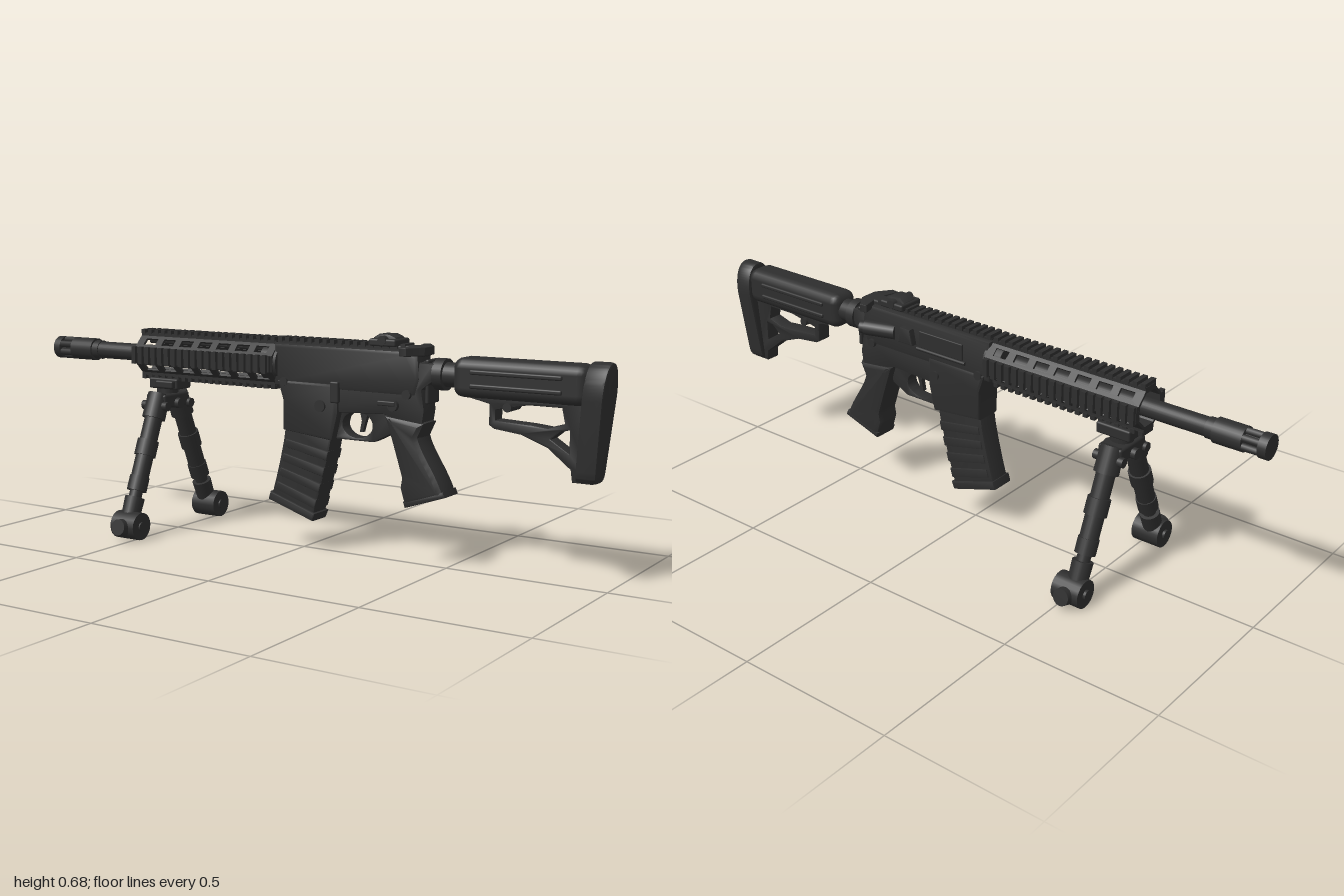
import * as THREE from 'three';
import { RoundedBoxGeometry } from 'three/addons/geometries/RoundedBoxGeometry.js';
import { toCreasedNormals } from 'three/addons/utils/BufferGeometryUtils.js';

const gunmetal = new THREE.MeshStandardMaterial({ color: 0x2e2e2e });
gunmetal.name = 'gunmetal';
const AXIS = 0.577; // bore height

function add(parent, name, geometry, x = 0, y = 0, z = 0) {
  const mesh = new THREE.Mesh(geometry, gunmetal);
  mesh.name = name;
  mesh.position.set(x, y, z);
  parent.add(mesh);
  return mesh;
}

const box = (parent, name, w, h, d, x, y, z, r = 0) =>
  add(parent, name, r ? new RoundedBoxGeometry(w, h, d, 2, r) : new THREE.BoxGeometry(w, h, d), x, y, z);

// Round bar between two points
function rod(parent, name, a, b, r1, r2 = r1, sides = 20) {
  const from = new THREE.Vector3(...a), to = new THREE.Vector3(...b);
  const dir = to.clone().sub(from);
  const mesh = add(parent, name, new THREE.CylinderGeometry(r2, r1, dir.length(), sides));
  mesh.position.copy(from).add(to).multiplyScalar(0.5);
  mesh.quaternion.setFromUnitVectors(new THREE.Vector3(0, 1, 0), dir.normalize());
  return mesh;
}

const tubeX = (parent, name, x1, x2, r, y = AXIS, z = 0, sides = 28) =>
  rod(parent, name, [x1, y, z], [x2, y, z], r, r, sides);

const outline = (pts) => new THREE.Shape(pts.map(p => new THREE.Vector2(...p)));

// Side profile extruded evenly to both sides of z = 0
function plate(parent, name, shape, depth, bevel = 0, z = 0) {
  const s = Array.isArray(shape) ? outline(shape) : shape;
  let g = new THREE.ExtrudeGeometry(s, {
    depth: depth - 2 * bevel, bevelEnabled: bevel > 0, bevelSize: bevel,
    bevelThickness: bevel, bevelOffset: -bevel, bevelSegments: 2, curveSegments: 16,
  });
  g.translate(0, 0, bevel - depth / 2);
  g = toCreasedNormals(g, 0.6);
  return add(parent, name, g, 0, 0, z);
}

const rect = (x1, y1, x2, y2) => [[x1, y1], [x2, y1], [x2, y2], [x1, y2]];

// Toothed accessory rail facing +z
function rail(parent, x1, x2, inner, outer) {
  const mid = (inner + outer) / 2;
  box(parent, 'railBase', x2 - x1, 0.05, mid - inner, (x1 + x2) / 2, 0, (inner + mid) / 2);
  for (let x = x1 + 0.009; x < x2 - 0.005; x += 0.027)
    box(parent, 'railTooth', 0.015, 0.056, outer - mid + 0.003, x, 0, (mid + outer) / 2 - 0.0015);
}

function buildBarrel(root) {
  const g = new THREE.Group(); g.name = 'barrel'; root.add(g);
  tubeX(g, 'barrelTube', -0.9, 0, 0.028);
  tubeX(g, 'muzzleCollar', -0.9, -0.835, 0.037);
  tubeX(g, 'muzzleNeck', -0.84, -0.81, 0.031);
  tubeX(g, 'muzzleCore', -0.985, -0.9, 0.022);
  for (const x of [-1, -0.925]) tubeX(g, 'muzzleRing', x, x + 0.026, 0.037);
  for (let i = 0; i < 6; i++) {
    const a = (i + 0.5) * Math.PI / 3;
    tubeX(g, 'muzzleProng', -0.98, -0.91, 0.011, AXIS + Math.sin(a) * 0.026, Math.cos(a) * 0.026, 8);
  }
}

function buildHandguard(root) {
  const g = new THREE.Group(); g.name = 'handguard'; g.position.y = AXIS; root.add(g);
  for (let i = 0; i < 8; i++) {
    const side = new THREE.Group(); side.name = i % 2 ? 'ventPanel' : 'railSide';
    side.rotation.x = i * Math.PI / 4;
    g.add(side);
    const shape = outline(rect(-0.62, -0.025, -0.08, 0.025));
    if (i % 2) for (let k = 0; k < 7; k++) {
      const x = -0.592 + k * 0.073;
      shape.holes.push(new THREE.Path(rect(x, -0.013, x + 0.048, 0.013).map(p => new THREE.Vector2(...p))));
    }
    plate(side, 'panel', shape, 0.008, 0, 0.056);
    if (i % 2 === 0) rail(side, -0.62, -0.085, 0.059, 0.081);
  }
  tubeX(g, 'barrelNut', -0.13, -0.07, 0.057, 0);
  tubeX(g, 'gasTube', -0.6, -0.1, 0.009, 0.043, 0, 10);
}

function buildReceiver(root) {
  const g = new THREE.Group(); g.name = 'receiver'; root.add(g);
  // Upper half
  plate(g, 'upperReceiver', [[-0.085, 0.51], [0.41, 0.51], [0.425, 0.56], [0.42, 0.63], [0.38, 0.642], [-0.085, 0.642]], 0.086, 0.012);
  const top = new THREE.Group(); top.name = 'topRail';
  top.rotation.x = -Math.PI / 2; g.add(top);
  rail(top, -0.08, 0.37, 0.636, 0.66);
  // Lower half with magazine well
  plate(g, 'lowerReceiver', [[0.1, 0.44], [0.3, 0.45], [0.43, 0.41], [0.44, 0.47], [0.43, 0.53], [0.47, 0.56], [0.47, 0.61], [0.42, 0.61], [0.4, 0.53], [0.1, 0.53]], 0.078, 0.008);
  plate(g, 'magazineWell', [[-0.05, 0.375], [0.13, 0.355], [0.15, 0.44], [0.15, 0.53], [-0.07, 0.53], [-0.05, 0.47]], 0.096, 0.01);
  plate(g, 'frontLug', [[-0.1, 0.53], [-0.05, 0.5], [0.0, 0.53], [0, 0.56], [-0.1, 0.56]], 0.07, 0.005);
  // Trigger and guard
  const guard = outline([[0.12, 0.36], [0.26, 0.36], [0.32, 0.39], [0.33, 0.46], [0.12, 0.46]]);
  guard.holes.push(new THREE.Path().absellipse(0.205, 0.408, 0.052, 0.039, 0, Math.PI * 2, true));
  plate(g, 'triggerGuard', guard, 0.045, 0.004);
  plate(g, 'trigger', [[0.205, 0.45], [0.235, 0.45], [0.225, 0.42], [0.215, 0.385], [0.205, 0.385], [0.212, 0.42]], 0.015);
  // Controls on the +z side
  rod(g, 'selectorPivot', [0.34, 0.48, 0.03], [0.34, 0.48, 0.052], 0.017);
  box(g, 'selectorLever', 0.06, 0.015, 0.01, 0.32, 0.485, 0.05, 0.004);
  box(g, 'boltCatch', 0.03, 0.065, 0.016, 0.14, 0.505, 0.046, 0.005);
  rod(g, 'magazineCatch', [0.09, 0.46, 0.04], [0.09, 0.46, 0.055], 0.018);
  for (const [x, y] of [[-0.045, 0.525], [0.385, 0.515]])
    rod(g, 'takedownPin', [x, y, -0.05], [x, y, 0.05], 0.014);
  // Controls on the -z side
  box(g, 'ejectionCover', 0.17, 0.055, 0.009, 0.1, 0.583, -0.044, 0.003);
  rod(g, 'coverHinge', [0.005, 0.55, -0.046], [0.195, 0.55, -0.046], 0.006, 0.006, 10);
  plate(g, 'shellDeflector', [[0.2, 0.56], [0.26, 0.56], [0.25, 0.61], [0.21, 0.61]], 0.03, 0.005, -0.05);
  rod(g, 'forwardAssist', [0.29, 0.575, -0.035], [0.39, 0.575, -0.066], 0.024);
  rod(g, 'assistButton', [0.38, 0.575, -0.063], [0.405, 0.575, -0.071], 0.02);
  rod(g, 'magazineButton', [0.12, 0.48, -0.035], [0.12, 0.48, -0.054], 0.014);
  // Charging handle
  box(g, 'chargingBar', 0.09, 0.03, 0.05, 0.385, 0.64, 0, 0.006);
  plate(g, 'chargingGrip', [[0.375, -0.075], [0.4, -0.078], [0.435, -0.03], [0.435, 0.03], [0.4, 0.078], [0.375, 0.075], [0.395, 0]], 0.026, 0.003)
    .rotation.x = Math.PI / 2;
  g.children.at(-1).position.y = 0.642;
  // Folding rear sight
  box(g, 'sightBase', 0.09, 0.022, 0.09, 0.3, 0.662, 0, 0.006);
  plate(g, 'sightBody', [[0.255, 0.66], [0.345, 0.66], [0.335, 0.678], [0.315, 0.686], [0.28, 0.686], [0.262, 0.675]], 0.055, 0.004);
  rod(g, 'sightKnob', [0.3, 0.668, -0.047], [0.3, 0.668, 0.047], 0.014);
}

function buildMagazine(root) {
  const g = new THREE.Group(); g.name = 'magazine'; root.add(g);
  const left = t => [-0.045 - 0.055 * t ** 1.3, 0.4 - 0.24 * t];
  const right = t => [0.125 - 0.07 * t ** 1.2, 0.38 - 0.27 * t];
  const ts = [0, 0.25, 0.5, 0.75, 1];
  plate(g, 'magazineBody', [...ts.map(left), ...ts.slice().reverse().map(right)], 0.074, 0.008);
  for (let i = 0; i < 4; i++) {
    const a = 0.22 + i * 0.19, b = a + 0.11;
    const inset = ([x, y]) => [x + 0.012, y];
    plate(g, 'magazineRib', [inset(left(a)), inset(left(b)), right(b), right(a)], 0.082, 0.004);
  }
  plate(g, 'magazineFloor', [[-0.108, 0.15], [0.055, 0.097], [0.066, 0.122], [-0.1, 0.176]], 0.084, 0.005);
}

function buildGrip(root) {
  const g = new THREE.Group(); g.name = 'grip'; root.add(g);
  const s = new THREE.Shape();
  s.moveTo(0.305, 0.45);
  s.bezierCurveTo(0.335, 0.36, 0.345, 0.33, 0.365, 0.265);
  s.lineTo(0.36, 0.235);
  s.lineTo(0.378, 0.178);
  s.lineTo(0.512, 0.222);
  s.bezierCurveTo(0.49, 0.29, 0.44, 0.34, 0.425, 0.39);
  s.lineTo(0.445, 0.435);
  plate(g, 'gripBody', s, 0.092, 0.02);
  plate(g, 'gripBase', [[0.374, 0.195], [0.38, 0.177], [0.514, 0.222], [0.507, 0.24]], 0.088, 0.006);
}

function buildStock(root) {
  const g = new THREE.Group(); g.name = 'stock'; root.add(g);
  tubeX(g, 'bufferTube', 0.42, 0.9, 0.036);
  tubeX(g, 'castleNut', 0.465, 0.495, 0.047);
  box(g, 'endPlate', 0.012, 0.13, 0.07, 0.445, 0.555, 0, 0.005);
  box(g, 'stockBody', 0.41, 0.115, 0.1, 0.735, 0.576, 0, 0.03);
  for (const s of [-1, 1]) for (const y of [0.555, 0.595])
    box(g, 'stockRidge', 0.28, 0.014, 0.012, 0.73, y, s * 0.05, 0.005);
  // Open lower brace
  const brace = outline([[0.55, 0.525], [0.64, 0.505], [0.64, 0.445], [0.655, 0.435], [0.74, 0.425], [0.82, 0.395], [0.89, 0.34], [0.895, 0.305], [0.955, 0.305], [0.96, 0.53]]);
  for (const pts of [
    [[0.66, 0.46], [0.66, 0.49], [0.76, 0.51], [0.86, 0.51], [0.87, 0.465], [0.82, 0.45], [0.77, 0.455]],
    [[0.885, 0.385], [0.83, 0.42], [0.86, 0.445], [0.885, 0.45]],
  ]) brace.holes.push(new THREE.Path(pts.map(p => new THREE.Vector2(...p))));
  plate(g, 'stockBrace', brace, 0.05, 0.004);
  rod(g, 'adjustmentPin', [0.7, 0.5, -0.035], [0.7, 0.5, 0.035], 0.013);
  // Egg-shaped butt pad, leaning forward at the toe
  const s = new THREE.Shape();
  s.moveTo(0, 0.305);
  s.bezierCurveTo(0.03, 0.305, 0.037, 0.31, 0.04, 0.34);
  s.lineTo(0.056, 0.54);
  s.bezierCurveTo(0.058, 0.6, 0.036, 0.642, 0, 0.642);
  s.bezierCurveTo(-0.036, 0.642, -0.058, 0.6, -0.056, 0.54);
  s.lineTo(-0.04, 0.34);
  s.bezierCurveTo(-0.037, 0.31, -0.03, 0.305, 0, 0.305);
  const pad = plate(g, 'buttPad', s, 0.062, 0.008);
  pad.geometry.rotateY(Math.PI / 2);
  const p = pad.geometry.attributes.position;
  for (let i = 0; i < p.count; i++) p.setX(i, p.getX(i) + 0.965 + (p.getY(i) - 0.62) * 0.09);
}

function buildBipod(root) {
  const g = new THREE.Group(); g.name = 'bipod'; root.add(g);
  const X = -0.535;
  box(g, 'clamp', 0.115, 0.035, 0.075, X + 0.01, 0.485, 0, 0.006);
  box(g, 'clampLever', 0.07, 0.025, 0.02, X + 0.03, 0.485, 0.05, 0.006);
  rod(g, 'swivel', [X, 0.44, 0], [X, 0.475, 0], 0.035);
  box(g, 'yoke', 0.08, 0.045, 0.13, X, 0.43, 0, 0.008);
  rod(g, 'yokePin', [X - 0.055, 0.42, 0], [X + 0.055, 0.42, 0], 0.017);
  for (const side of [1, -1]) {
    const leg = new THREE.Group(); leg.name = side > 0 ? 'frontLeg' : 'rearLeg'; g.add(leg);
    const at = t => [X, 0.45 - 0.4 * t, side * (0.045 + 0.165 * t)];
    const part = (name, a, b, r1, r2) => rod(leg, name, at(a), at(b), r1, r2);
    part('legHinge', 0, 0.19, 0.036, 0.038);
    rod(leg, 'hingePin', [X - 0.05, 0.415, side * 0.062], [X + 0.05, 0.415, side * 0.062], 0.015);
    part('upperTube', 0.15, 0.66, 0.029);
    part('upperCollar', 0.36, 0.48, 0.035);
    part('lowerCollar', 0.64, 0.75, 0.032);
    part('lowerTube', 0.7, 0.95, 0.021);
    part('ankle', 0.8, 0.98, 0.032, 0.03);
    // Rubber foot
    rod(leg, 'foot', [X - 0.037, 0.047, side * 0.213], [X + 0.055, 0.047, side * 0.213], 0.044);
    rod(leg, 'footSole', [X + 0.008, 0.034, side * 0.2], [X + 0.008, 0.05, side * 0.274], 0.032, 0.026);
    rod(leg, 'footBolt', [X - 0.045, 0.047, side * 0.213], [X + 0.06, 0.047, side * 0.213], 0.015);
  }
}

export function createModel() {
  const root = new THREE.Group();
  root.name = 'rifle';
  for (const build of [buildBarrel, buildHandguard, buildReceiver, buildMagazine, buildGrip, buildStock, buildBipod]) build(root);
  return root;
}
